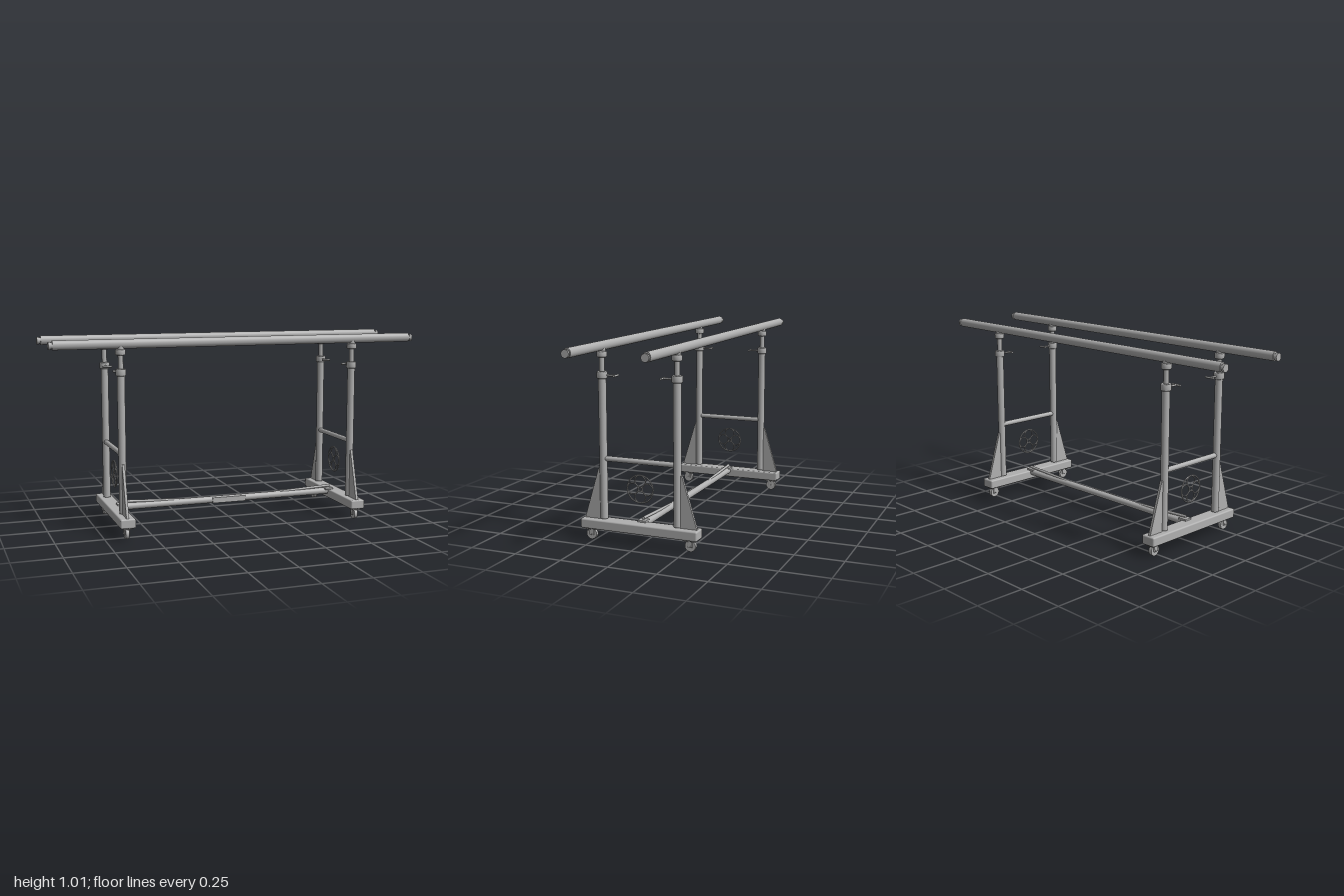
import * as THREE from 'three';
import { RoundedBoxGeometry } from 'three/addons/geometries/RoundedBoxGeometry.js';

export function createModel() {
  const model = new THREE.Group();
  model.name = 'parallelBars';
  const steel = new THREE.MeshStandardMaterial({ color: 0xb0b0b0 });
  steel.name = 'greySteel';

  const add = (parent, name, geometry, x = 0, y = 0, z = 0) => {
    const mesh = new THREE.Mesh(geometry, steel);
    mesh.name = name;
    mesh.position.set(x, y, z);
    parent.add(mesh);
    return mesh;
  };
  const box = (w, h, d, r = 0.003) => new RoundedBoxGeometry(w, h, d, 2, r);
  // Cylinder between two points
  const rod = (parent, name, a, b, r, sides = 24) => {
    const from = new THREE.Vector3(...a), to = new THREE.Vector3(...b);
    const dir = to.clone().sub(from);
    const mesh = add(parent, name, new THREE.CylinderGeometry(r, r, dir.length(), sides));
    mesh.position.copy(from).add(to).multiplyScalar(0.5);
    mesh.quaternion.setFromUnitVectors(new THREE.Vector3(0, 1, 0), dir.normalize());
    return mesh;
  };
  // Vertical turned part with bevelled rims
  const turned = (r, y0, y1, bevel = 0.004) => {
    const points = [[0, y0], [r - bevel, y0], [r, y0 + bevel], [r, y1 - bevel], [r - bevel, y1], [0, y1]];
    return new THREE.LatheGeometry(points.map(p => new THREE.Vector2(...p)), 28);
  };

  // Handrails: oval bars with stepped end caps
  for (const s of [1, -1]) {
    const rail = new THREE.Group();
    rail.name = 'handrail';
    rail.position.set(0, 0.986, s * 0.2);
    model.add(rail);
    const bar = rod(rail, 'railBar', [-0.98, 0, 0], [0.98, 0, 0], 0.02, 32);
    bar.scale.x = 1.2;
    for (const e of [1, -1]) {
      rod(rail, 'endNeck', [e * 0.975, -0.002, 0], [e * 0.99, -0.002, 0], 0.016);
      rod(rail, 'endCap', [e * 0.988, -0.002, 0], [e, -0.002, 0], 0.02);
    }
  }

  // Triangular brace, drawn in (z, y) and centred on its thickness
  const braceShape = new THREE.Shape();
  [[0.215, 0.375], [0.225, 0.375], [0.305, 0.11], [0.215, 0.11]].forEach(([z, y], i) =>
    i ? braceShape.lineTo(z, y) : braceShape.moveTo(z, y));
  const braceGeometry = new THREE.ExtrudeGeometry(braceShape, { depth: 0.014, bevelEnabled: false });
  braceGeometry.translate(0, 0, -0.007);

  // One end frame, standing in the z-y plane
  const buildFrame = (x) => {
    const frame = new THREE.Group();
    frame.name = 'endFrame';
    frame.position.x = x;
    model.add(frame);

    add(frame, 'baseBeam', box(0.08, 0.05, 0.632, 0.008), 0, 0.087, 0);
    rod(frame, 'crossBar', [0, 0.424, -0.19], [0, 0.424, 0.19], 0.0135);

    for (const s of [1, -1]) {
      const z = s * 0.2;
      rod(frame, 'post', [0, 0.116, z], [0, 0.835, z], 0.02);
      add(frame, 'postCollar', turned(0.027, 0.825, 0.861), 0, 0, z);
      rod(frame, 'innerPost', [0, 0.85, z], [0, 0.94, z], 0.0135);
      add(frame, 'saddle', turned(0.026, 0.93, 0.96), 0, 0, z);
      rod(frame, 'saddleNeck', [0, 0.955, z], [0, 0.975, z], 0.018);

      // T-handled clamp screw pointing inward
      rod(frame, 'clampScrew', [0, 0.842, z], [0, 0.842, s * 0.125], 0.005, 12);
      rod(frame, 'clampHandle', [-0.024, 0.842, s * 0.125], [0.024, 0.842, s * 0.125], 0.0055, 12);

      const brace = add(frame, 'brace', braceGeometry);
      brace.rotation.y = s > 0 ? -Math.PI / 2 : Math.PI / 2;

      // Caster
      const cz = s * 0.27;
      add(frame, 'casterPlate', box(0.044, 0.01, 0.06), 0, 0.058, cz);
      for (const e of [1, -1])
        add(frame, 'casterFork', box(0.005, 0.034, 0.028, 0.002), e * 0.013, 0.04, cz);
      rod(frame, 'casterAxle', [-0.018, 0.028, cz], [0.018, 0.028, cz], 0.005, 12);
      rod(frame, 'casterWheel', [-0.009, 0.028, cz], [0.009, 0.028, cz], 0.028, 32);
    }

    // Round ornament of interlocking rings
    const ornament = new THREE.Group();
    ornament.name = 'ringOrnament';
    ornament.position.y = 0.285;
    ornament.rotation.y = Math.PI / 2;
    frame.add(ornament);
    const ring = (name, r, tube, px = 0, py = 0) =>
      add(ornament, name, new THREE.TorusGeometry(r, tube, 8, 36), px, py, 0);
    ring('outerRing', 0.07, 0.0035);
    ring('centreRing', 0.0095, 0.0025);
    for (let i = 0; i < 4; i++) {
      const a = i * Math.PI / 2;
      ring('petalRing', 0.029, 0.003, 0.04 * Math.cos(a), 0.04 * Math.sin(a));
    }
  };
  buildFrame(-0.64);
  buildFrame(0.64);

  // Long stretcher joining the frames, with a plate on its front
  rod(model, 'stretcher', [-0.61, 0.101, -0.004], [0.61, 0.101, -0.004], 0.0185, 32);
  add(model, 'stretcherPlate', box(0.19, 0.032, 0.008, 0.002), 0, 0.1, 0.014);
  for (const e of [1, -1]) {
    add(model, 'stretcherBracket', box(0.05, 0.012, 0.045), e * 0.605, 0.116, 0);
    rod(model, 'slopingStrut', [e * 0.615, 0.131, -0.004], [e * 0.27, 0.114, -0.004], 0.0075, 16);
  }
  return model;
}
